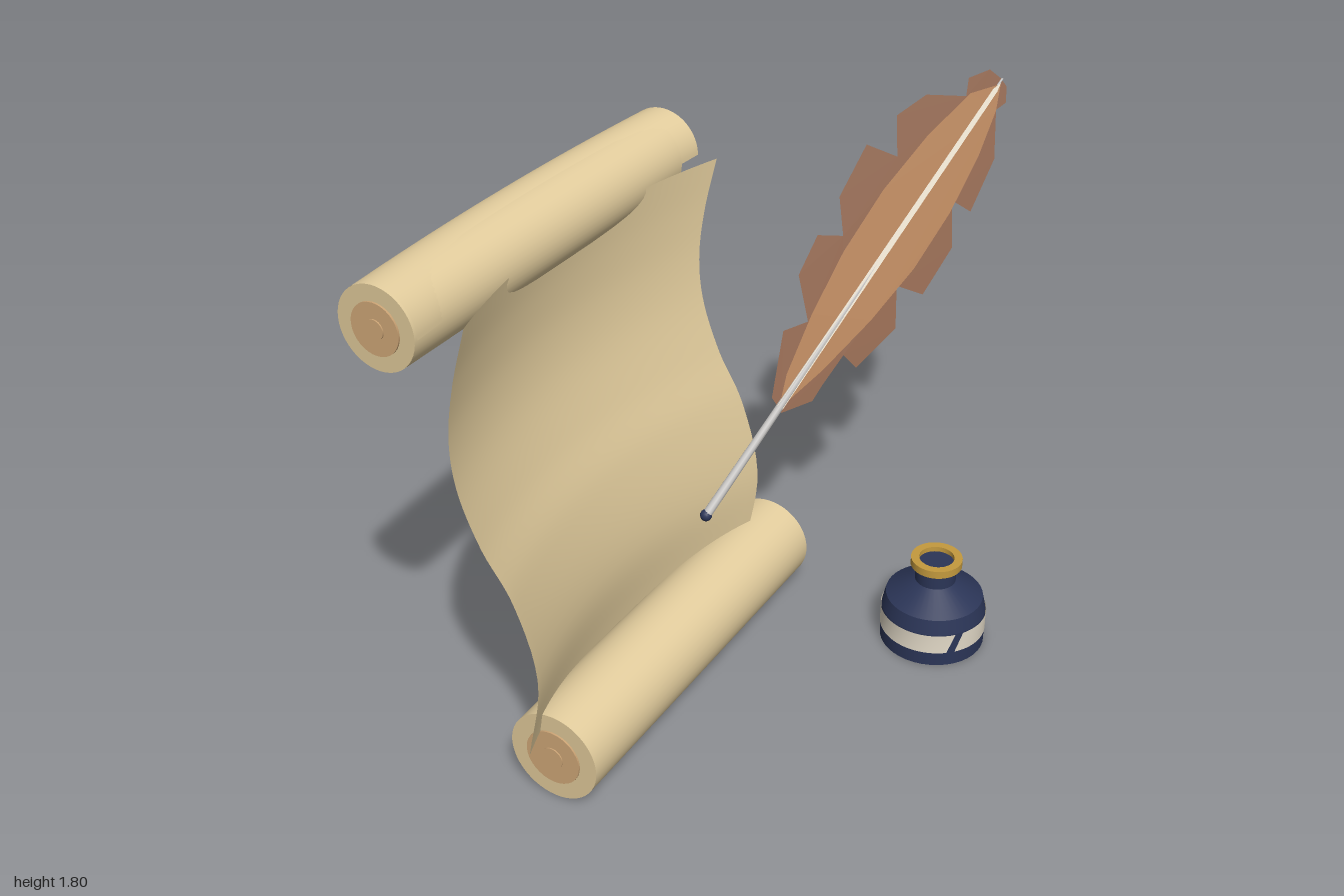
import * as THREE from 'three';

const mat = (name, color, side = THREE.FrontSide) => {
  const m = new THREE.MeshStandardMaterial({ color, side });
  m.name = name;
  return m;
};

export function createModel() {
  const parchment = mat('parchment', 0xe5cf9f, THREE.DoubleSide);
  const rollEdge = mat('roll edge', 0xddc797);
  const rollCore = mat('roll core', 0xcda576);
  const glass = mat('dark blue glass', 0x2b3557);
  const gold = mat('gold', 0xc49a3e);
  const paper = mat('label paper', 0xe2d9c7, THREE.DoubleSide);
  const darkVane = mat('dark feather', 0x835435, THREE.DoubleSide);
  const lightVane = mat('light feather', 0xaa7545);
  const quill = mat('quill', 0xc4c2c0);

  const model = new THREE.Group();
  const add = (parent, name, geometry, material) => {
    const mesh = new THREE.Mesh(geometry, material);
    mesh.name = name;
    parent.add(mesh);
    return mesh;
  };

  // Group whose local x runs from the front end to the back end of a roll
  const alongRoll = (name, front, back, y) => {
    const dx = back[0] - front[0], dz = back[1] - front[1];
    const g = new THREE.Group();
    g.name = name;
    g.position.set((front[0] + back[0]) / 2, y, (front[1] + back[1]) / 2);
    g.rotation.y = Math.atan2(-dz, dx);
    model.add(g);
    return [g, Math.hypot(dx, dz)];
  };

  // Rolled parchment with layered ends
  const roll = (name, front, back, y, r) => {
    const [g, len] = alongRoll(name, front, back, y);
    add(g, name + 'Side', new THREE.CylinderGeometry(r, r, len, 48, 1, true).rotateZ(Math.PI / 2), parchment);
    for (const s of [-1, 1]) {
      const cap = add(g, name + 'End', new THREE.CircleGeometry(r, 48), rollEdge);
      cap.position.x = s * len / 2;
      cap.rotation.y = s * Math.PI / 2;
    }
    [[0.62, 0.012], [0.24, 0.02]].forEach(([k, extra]) =>
      add(g, name + 'Core', new THREE.CylinderGeometry(r * k, r * k, len + extra, 32).rotateZ(Math.PI / 2), rollCore));
  };
  roll('lowerRoll', [-0.405, 0.865], [0.13, -0.4], 0.157, 0.156);
  roll('upperRoll', [-0.795, 0.945], [-0.267, -0.29], 1.664, 0.129);

  // Loose outer wrap over the upper roll, bowed slightly back along its length
  const [wrapGroup, wrapLen] = alongRoll('upperWrap', [-0.79, 0.945], [-0.23, -0.375], 1.664);
  const wrap = new THREE.CylinderGeometry(0.132, 0.132, wrapLen, 32, 20, true, 0, Math.PI).rotateZ(Math.PI / 2);
  const wp = wrap.attributes.position;
  for (let i = 0; i < wp.count; i++) {
    const k = 2 * wp.getX(i) / wrapLen;
    wp.setZ(i, wp.getZ(i) - 0.025 * (1 - k * k));
  }
  wrap.computeVertexNormals();
  add(wrapGroup, 'wrap', wrap, parchment);

  // Hanging sheet: wavy front edge swept to the back, hollowed in the middle
  const edge = new THREE.CatmullRomCurve3([
    [-0.455, 0.24, 0.96], [-0.42, 0.5, 0.942], [-0.475, 0.8, 0.957], [-0.55, 1.0, 0.978],
    [-0.603, 1.2, 0.985], [-0.615, 1.35, 0.977], [-0.6, 1.5, 0.955], [-0.565, 1.665, 0.92],
  ].map(p => new THREE.Vector3(...p)));
  const sheet = new THREE.PlaneGeometry(1, 1, 32, 40);
  const sp = sheet.attributes.position;
  for (let i = 0; i < sp.count; i++) {
    const t = sp.getX(i) + 0.5;
    const v = THREE.MathUtils.clamp(sp.getY(i) + 0.5, 0, 1);
    const p = edge.getPoint(v);
    const bow = (0.122 - 0.02 * v) * 4 * t * (1 - t);
    sp.setXYZ(i, p.x + 0.52 * t - 0.92 * bow, p.y, p.z - 1.217 * t - 0.39 * bow);
  }
  sheet.computeVertexNormals();
  add(model, 'sheet', sheet, parchment);

  // Ink bottle
  const bottle = new THREE.Group();
  bottle.name = 'inkBottle';
  bottle.position.set(0.735, 0, -0.106);
  model.add(bottle);
  const lathe = (pts) => new THREE.LatheGeometry(pts.map(p => new THREE.Vector2(...p)), 40);
  // each segment is its own band so the edges stay crisp
  const profile = [[0, 0], [0.18, 0], [0.179, 0.125], [0.167, 0.178], [0.07, 0.238], [0.07, 0.3]];
  for (let i = 0; i < profile.length - 1; i++) {
    add(bottle, 'bottleGlass', lathe([profile[i], profile[i + 1]]), glass);
  }
  const rim = [[0.06, 0.296], [0.088, 0.296], [0.088, 0.324], [0.06, 0.324], [0.06, 0.296]];
  for (let i = 0; i < 4; i++) add(bottle, 'bottleRim', lathe([rim[i], rim[i + 1]]), gold);
  add(bottle, 'ink', new THREE.CircleGeometry(0.062, 32).rotateX(-Math.PI / 2), glass).position.y = 0.306;

  // Label wrapped round the bottle with a slanted gap
  const label = new THREE.CylinderGeometry(0.182, 0.182, 0.072, 64, 1, true, 0.53, Math.PI * 2 - 0.16);
  const lp = label.attributes.position;
  for (let i = 0; i < lp.count; i++) {
    const a = Math.atan2(lp.getX(i), lp.getZ(i)) + lp.getY(i) * 2.2;
    lp.setX(i, 0.182 * Math.sin(a));
    lp.setZ(i, 0.182 * Math.cos(a));
  }
  label.computeVertexNormals();
  add(bottle, 'label', label, paper).position.y = 0.088;

  // Feather: flat shapes laid onto one leaning plane through the quill tip
  const feather = new THREE.Group();
  feather.name = 'feather';
  model.add(feather);
  const tip = new THREE.Vector3(-0.05, 0.475, -0.04);
  const planeZ = (x, y) => tip.z - 0.368 * (x - tip.x) - 0.503 * (y - tip.y);
  const vane = (name, pts, lift, material) => {
    const g = new THREE.ShapeGeometry(new THREE.Shape(pts.map(p => new THREE.Vector2(...p))));
    const p = g.attributes.position;
    for (let i = 0; i < p.count; i++) p.setZ(i, planeZ(p.getX(i), p.getY(i)) + lift);
    g.computeVertexNormals();
    add(feather, name, g, material);
  };
  vane('ragged vane', [
    [0.18, 0.76], [0.28, 0.785], [0.31, 0.83], [0.375, 0.915], [0.42, 0.872], [0.545, 0.98], [0.54, 1.11],
    [0.63, 1.075], [0.72, 1.21], [0.71, 1.355], [0.775, 1.315], [0.845, 1.47], [0.84, 1.62],
    [0.873, 1.64], [0.87, 1.69], [0.85, 1.715], [0.81, 1.745], [0.74, 1.725], [0.735, 1.67],
    [0.6, 1.685], [0.505, 1.63], [0.515, 1.505], [0.41, 1.55], [0.33, 1.4], [0.35, 1.28],
    [0.265, 1.29], [0.21, 1.175], [0.25, 1.03], [0.17, 1.01], [0.145, 0.81],
  ], 0, darkVane);
  vane('inner vane', [
    [0.17, 0.775], [0.31, 0.88], [0.46, 1.015], [0.595, 1.16], [0.705, 1.32], [0.79, 1.485], [0.84, 1.62],
    [0.85, 1.7], [0.75, 1.68], [0.615, 1.565], [0.475, 1.41], [0.355, 1.235], [0.262, 1.055], [0.19, 0.88],
  ], 0.007, lightVane);
  // pale strip down the middle of the vane
  vane('midrib', [
    [0.184, 0.776], [0.84, 1.68], [0.85, 1.705], [0.826, 1.69], [0.165, 0.79],
  ], 0.014, paper);

  // Quill shaft and inked nib
  const end = new THREE.Vector3(0.855, 1.715, planeZ(0.855, 1.715));
  const dir = end.clone().sub(tip);
  const shaft = add(feather, 'quillShaft', new THREE.CylinderGeometry(0.004, 0.017, dir.length(), 10), quill);
  shaft.position.copy(tip).addScaledVector(dir, 0.5);
  shaft.position.z += 0.003;
  shaft.quaternion.setFromUnitVectors(new THREE.Vector3(0, 1, 0), dir.clone().normalize());
  add(feather, 'nib', new THREE.SphereGeometry(0.021, 14, 10), glass).position.copy(tip);

  return model;
}
